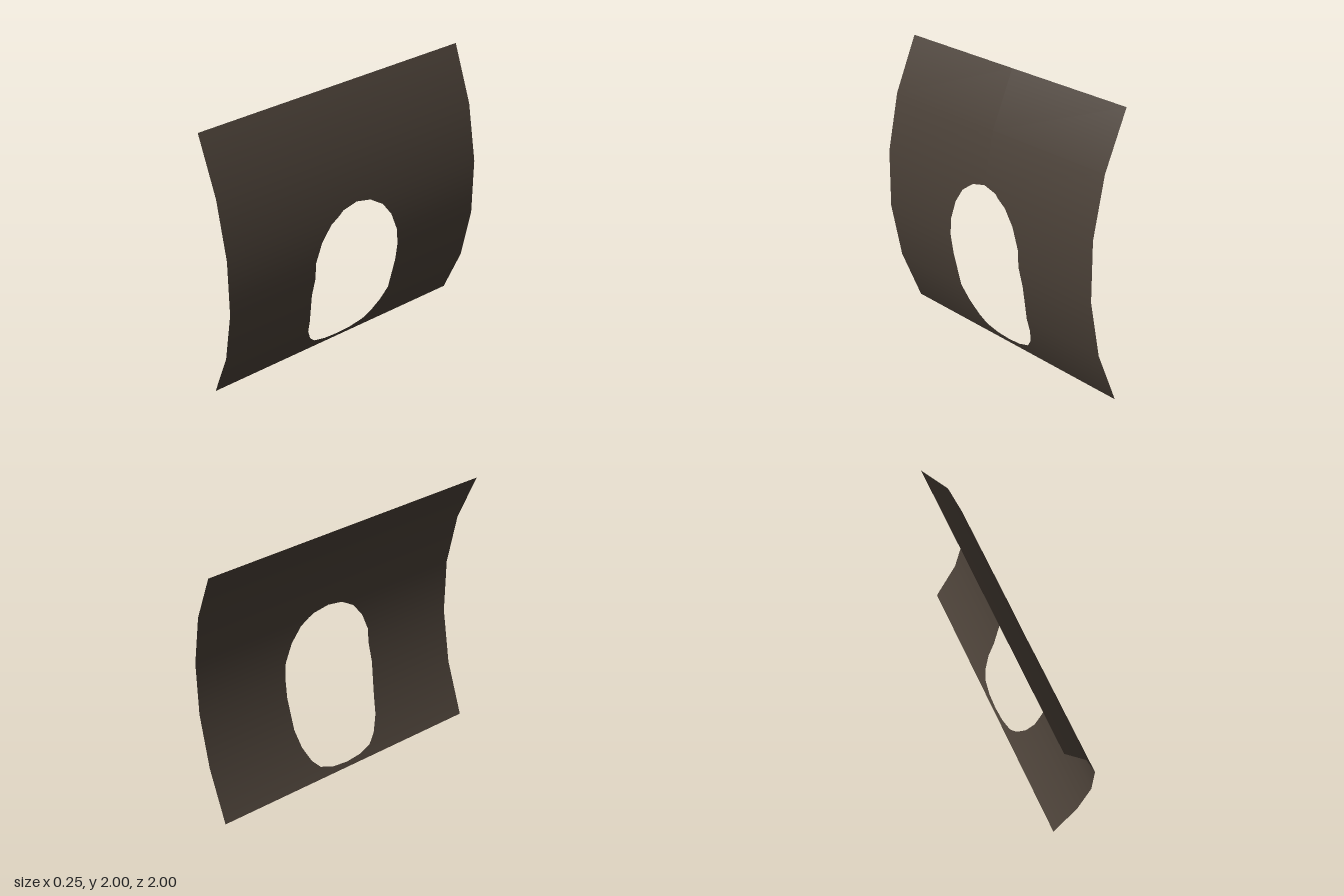
import * as THREE from 'three';

// Arc of the bent sheet: five straight facets, bulging to +x
const RISE = 0.26;
const RADIUS = (1 + RISE * RISE) / (2 * RISE);
const HALF_ANGLE = Math.asin(1 / RADIUS);
const FACETS = 5;
const bends = Array.from({ length: FACETS + 1 }, (_, i) => {
  const a = HALF_ANGLE * (2 * i / FACETS - 1);
  return { y: 1 + RADIUS * Math.sin(a), x: RADIUS * Math.cos(a), a };
});
const xMid = (bends[0].x + bends[2].x) / 2;
bends[0].y = 0;
bends[FACETS].y = 2;

// Half outline of the opening: [y, half width], bottom to top
const opening = [
  [0.035, 0], [0.045, 0.11], [0.08, 0.209], [0.142, 0.262], [0.254, 0.31], [0.385, 0.334],
  [0.64, 0.35], [0.912, 0.334], [1.055, 0.283], [1.163, 0.209], [1.233, 0.11], [1.257, 0],
];

function halfWidth(y) {
  for (let i = 1; i < opening.length; i++) {
    const [y0, w0] = opening[i - 1], [y1, w1] = opening[i];
    if (y >= y0 && y <= y1) return w0 + (w1 - w0) * (y - y0) / (y1 - y0);
  }
  return 0;
}

// Position and smooth normal on the facets at a given height
function sheetAt(y) {
  let i = 1;
  while (i < FACETS && y > bends[i].y) i++;
  const p = bends[i - 1], q = bends[i];
  const t = (y - p.y) / (q.y - p.y);
  const a = p.a + (q.a - p.a) * t;
  return { x: p.x + (q.x - p.x) * t - xMid, nx: Math.cos(a), ny: Math.sin(a) };
}

// Rows at every bend and outline point, each with a strip on both sides of the opening
function sheetGeometry() {
  const rows = [...bends.map(b => b.y), ...opening.map(o => o[0])].sort((a, b) => a - b);
  const positions = [], normals = [], indices = [];
  rows.forEach((y, r) => {
    const { x, nx, ny } = sheetAt(y);
    const w = halfWidth(y);
    for (const z of [1, w, -w, -1]) {
      positions.push(x, y, z);
      normals.push(nx, ny, 0);
    }
    if (r === 0) return;
    for (const side of [0, 2]) {
      const a = (r - 1) * 4 + side, b = a + 1, c = b + 4, d = a + 4;
      indices.push(a, b, c, a, c, d);
    }
  });
  const geometry = new THREE.BufferGeometry();
  geometry.setAttribute('position', new THREE.Float32BufferAttribute(positions, 3));
  geometry.setAttribute('normal', new THREE.Float32BufferAttribute(normals, 3));
  geometry.setIndex(indices);
  return geometry;
}

export function createModel() {
  const group = new THREE.Group();
  group.name = 'curvedPanel';
  const darkBrown = new THREE.MeshStandardMaterial({ color: 0x4a4037, side: THREE.DoubleSide });
  darkBrown.name = 'dark brown';
  const sheet = new THREE.Mesh(sheetGeometry(), darkBrown);
  sheet.name = 'bentSheetWithOpening';
  group.add(sheet);
  return group;
}
